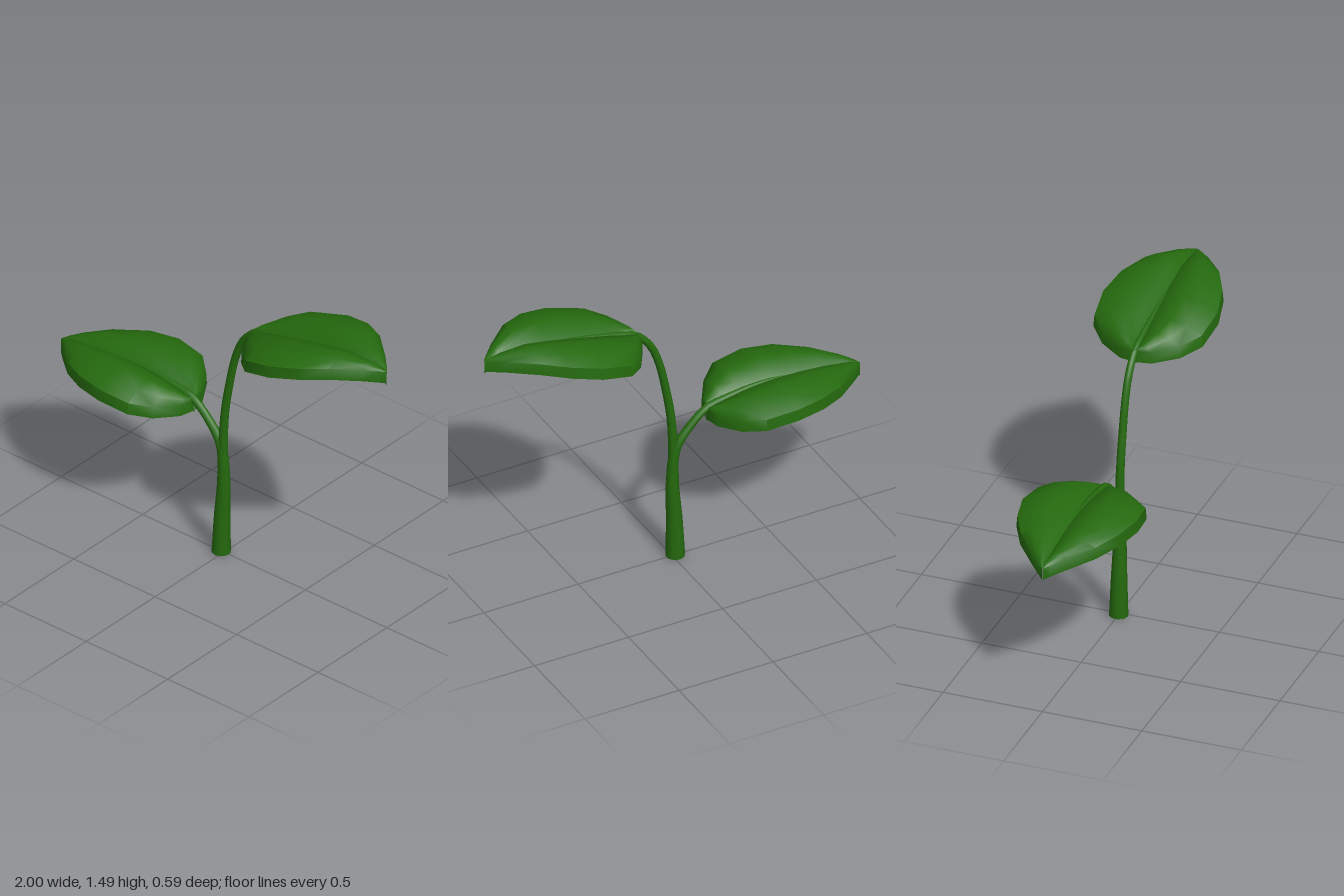
import * as THREE from 'three';
import { toCreasedNormals } from 'three/addons/utils/BufferGeometryUtils.js';

// Leaf stations: distance from the stem axis, half width, bulge height
const STATIONS = [
  [0.18, 0.003, 0.004], [0.2, 0.08, 0.02], [0.27, 0.195, 0.043], [0.36, 0.275, 0.05], [0.52, 0.293, 0.048],
  [0.67, 0.26, 0.04], [0.8, 0.19, 0.032], [0.92, 0.085, 0.015], [0.975, 0.03, 0.006], [1, 0.003, 0],
];
const THICKNESS = 0.062;

// Half cross-section from the top groove round the rim to the underside:
// [share of half width, share of bulge, share of thickness, groove drop]
const SECTION = [
  [0, 0, 1, -0.01], [0.15, 0.55, 1, 0], [0.4, 1, 1, 0], [0.72, 0.75, 1, 0], [0.98, 0, 0.95, 0],
  [1, 0, 0, 0], [0.72, 0.6, 0, 0], [0.4, 0.8, 0, 0], [0, 0, 0, -0.01],
];

// Thick folded leaf; side is +1 or -1, rimY the rim height at each station
function leafGeometry(side, rimY) {
  const ring = [
    ...SECTION.map((s) => [...s, 1]),
    ...SECTION.slice(1, -1).reverse().map((s) => [...s, -1]),
  ];
  const pos = [], index = [], n = ring.length;
  STATIONS.forEach(([x, w, h], i) => {
    for (const [kw, kh, kt, drop, sz] of ring) {
      pos.push(side * x, rimY[i] + kh * h + kt * THICKNESS + drop, sz * kw * w);
    }
    if (i === STATIONS.length - 1) return;
    for (let j = 0; j < n; j++) {
      const a = i * n + j, b = i * n + (j + 1) % n, c = a + n, d = b + n;
      if (side > 0) index.push(a, b, c, b, d, c);
      else index.push(a, c, b, b, c, d);
    }
  });
  const geo = new THREE.BufferGeometry();
  geo.setAttribute('position', new THREE.Float32BufferAttribute(pos, 3));
  geo.setIndex(index);
  return toCreasedNormals(geo, 0.9);
}

// Tapered tube through points [x, y, radius] in the z = 0 plane
function stemGeometry(points) {
  const curve = new THREE.CatmullRomCurve3(points.map(([x, y]) => new THREE.Vector3(x, y, 0)));
  const steps = (points.length - 1) * 3, sides = 10;
  const geo = new THREE.TubeGeometry(curve, steps, 1, sides);
  const pos = geo.attributes.position, v = new THREE.Vector3();
  for (let i = 0; i <= steps; i++) {
    const centre = curve.getPointAt(i / steps);
    const t = curve.getUtoTmapping(i / steps) * (points.length - 1);
    const k = Math.min(Math.floor(t), points.length - 2);
    const r = THREE.MathUtils.lerp(points[k][2], points[k + 1][2], t - k);
    for (let j = 0; j <= sides; j++) {
      const id = i * (sides + 1) + j;
      v.fromBufferAttribute(pos, id).sub(centre).multiplyScalar(r).add(centre);
      pos.setXYZ(id, v.x, Math.max(0, v.y), v.z);
    }
  }
  return geo;
}

export function createModel() {
  const group = new THREE.Group();
  const green = new THREE.MeshStandardMaterial({ color: 0x256a0e });
  green.name = 'leafGreen';
  const add = (name, geo) => {
    const mesh = new THREE.Mesh(geo, green);
    mesh.name = name;
    group.add(mesh);
    return mesh;
  };

  // Trunk running on into the lower branch and its midrib
  add('stemAndLowerBranch', stemGeometry([
    [-0.017, 0, 0.047], [-0.012, 0.2, 0.04], [-0.002, 0.43, 0.031], [-0.02, 0.6, 0.024], [-0.1, 0.71, 0.02],
    [-0.19, 0.785, 0.019], [-0.28, 0.805, 0.016], [-0.4, 0.825, 0.012], [-0.52, 0.832, 0.008], [-0.62, 0.828, 0.001],
  ]));

  // Taller branch and its midrib
  add('upperBranch', stemGeometry([
    [-0.003, 0.42, 0.024], [-0.005, 0.6, 0.023], [0.005, 0.78, 0.021], [0.032, 0.95, 0.02], [0.07, 1.12, 0.019],
    [0.115, 1.23, 0.019], [0.19, 1.313, 0.018], [0.28, 1.345, 0.015], [0.4, 1.375, 0.012], [0.52, 1.402, 0.008],
    [0.62, 1.423, 0.001],
  ]));

  // Flat underside of the trunk
  add('stemBase', new THREE.CircleGeometry(0.047, 10).rotateX(Math.PI / 2)).position.x = -0.017;

  add('upperLeaf', leafGeometry(1, [1.26, 1.257, 1.272, 1.302, 1.345, 1.38, 1.4, 1.39, 1.378, 1.372]));
  add('lowerLeaf', leafGeometry(-1, [0.72, 0.718, 0.733, 0.757, 0.775, 0.772, 0.757, 0.737, 0.722, 0.712]));

  return group;
}
